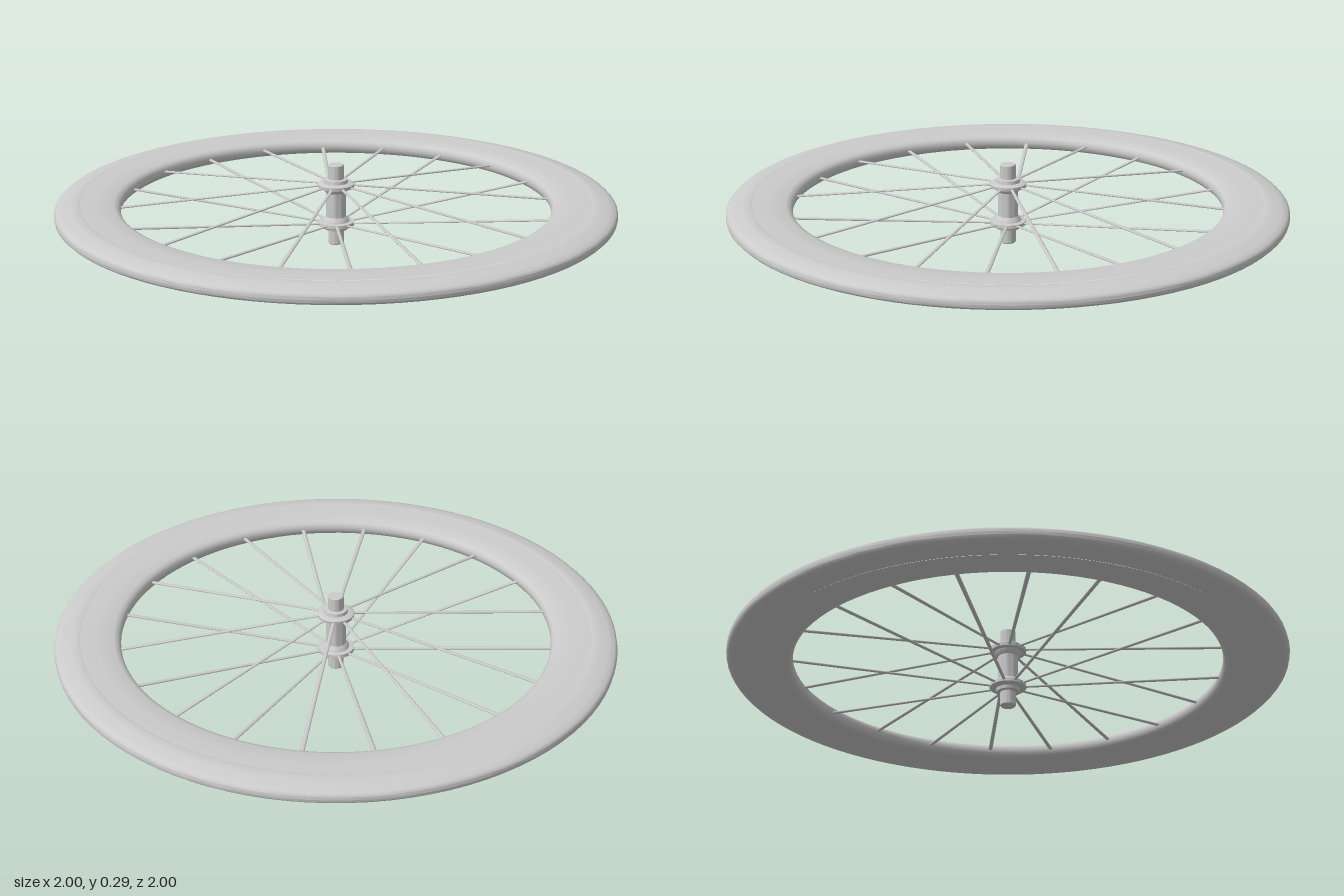
import * as THREE from 'three';
import { toCreasedNormals } from 'three/addons/utils/BufferGeometryUtils.js';

const MID = 0.147; // height of the wheel's centre plane
const SPOKES = 20;

const material = new THREE.MeshStandardMaterial({ color: 0xcccccc });

// Lathe from [radius, y] pairs, running bottom to top on the outside
function lathe(name, points, segments, crease) {
  const geometry = new THREE.LatheGeometry(points.map(([r, y]) => new THREE.Vector2(r, y)), segments);
  const mesh = new THREE.Mesh(toCreasedNormals(geometry, crease), material);
  mesh.name = name;
  return mesh;
}

// Adds the upper half of a profile, given from the middle outwards, to its mirror image
function mirrored(half) {
  const lower = half.map(([r, y]) => [r, -y]).reverse();
  return [...lower, ...half.filter(([, y]) => y > 0)];
}

// Flat blade running from the hub flange to the rim
function createSpoke(angle, side) {
  const start = new THREE.Vector3(0.05, side * 0.07, 0);
  const end = new THREE.Vector3(0.79, 0, 0);
  const geometry = new THREE.CylinderGeometry(0.008, 0.006, start.distanceTo(end), 8);
  geometry.scale(0.5, 1, 1);
  const blade = new THREE.Mesh(geometry, material);
  blade.position.copy(start).lerp(end, 0.5);
  blade.rotation.z = Math.atan2(end.y - start.y, end.x - start.x) - Math.PI / 2;
  blade.name = 'spokeBlade';
  const spoke = new THREE.Group();
  spoke.name = 'spoke';
  spoke.rotation.y = -angle;
  spoke.add(blade);
  return spoke;
}

export function createModel() {
  const wheel = new THREE.Group();
  wheel.name = 'wheel';
  wheel.position.y = MID;

  // Deep rim: a closed section with a rounded inner edge
  const inner = [[0.766, 0], [0.768, 0.012], [0.775, 0.022], [0.79, 0.028], [0.85, 0.032], [0.908, 0.033]];
  const rim = [...inner].reverse().concat(inner.slice(1).map(([r, y]) => [r, -y])).reverse();
  // Lathe faces point outwards when y rises, so the inner wall runs downwards
  wheel.add(lathe('rim', rim.reverse(), 96, 0.9));

  // Tyre closing the rim on the outside
  const tyre = [[1, 0], [0.998, 0.01], [0.99, 0.018], [0.97, 0.024], [0.94, 0.03], [0.915, 0.0335], [0.906, 0.031]];
  wheel.add(lathe('tyre', mirrored(tyre), 96, 0.9));

  // Hub: waisted shell, two flanges, stepped bearing caps and axle ends
  const hub = [
    [0.036, 0], [0.036, 0.045], [0.046, 0.056], [0.048, 0.062], [0.065, 0.064], [0.066, 0.076],
    [0.06, 0.08], [0.043, 0.081], [0.041, 0.093], [0.028, 0.095], [0.028, 0.144], [0.025, 0.147], [0, 0.147],
  ];
  wheel.add(lathe('hub', mirrored(hub), 32, 0.6));

  // Spokes alternate between the upper and lower flange
  const spokes = new THREE.Group();
  spokes.name = 'spokes';
  for (let i = 0; i < SPOKES; i++) {
    const angle = THREE.MathUtils.degToRad(2.5) + (i / SPOKES) * Math.PI * 2;
    spokes.add(createSpoke(angle, i % 2 === 0 ? 1 : -1));
  }
  wheel.add(spokes);

  const model = new THREE.Group();
  model.name = 'bicycleWheel';
  model.add(wheel);
  return model;
}
